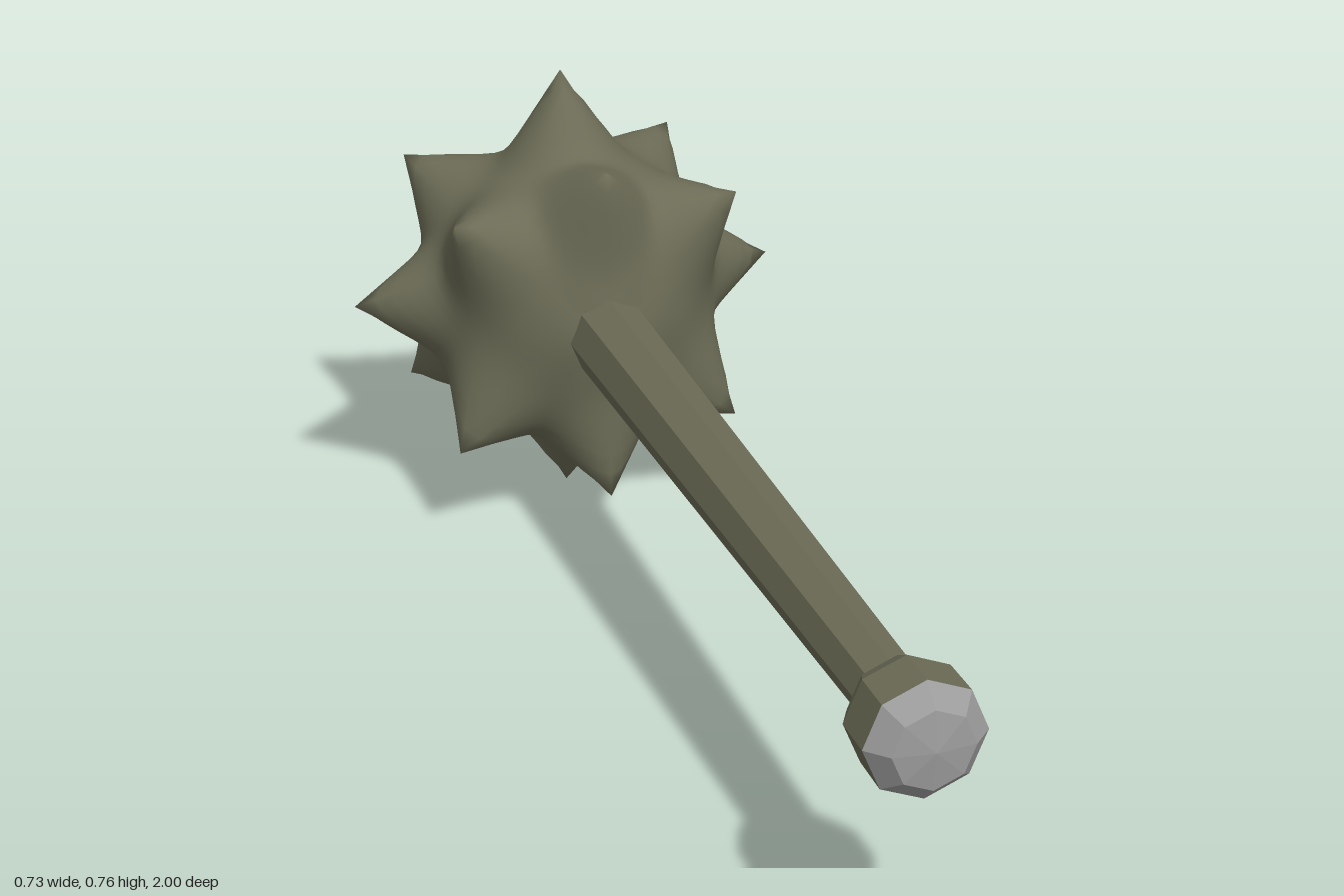
import * as THREE from 'three';
import { mergeVertices } from 'three/addons/utils/BufferGeometryUtils.js';
import { ConvexGeometry } from 'three/addons/geometries/ConvexGeometry.js';

const AXIS_Y = 0.375;
const HEAD_Z = -0.66;
const HEAD_RADIUS = 0.235;

// Spikes as tip (relative to the head centre) and slope of their sides
function spikeList() {
  const spikes = [];
  const add = (x, y, z, slope) => {
    const tip = new THREE.Vector3(x, y, z);
    spikes.push({ dir: tip.clone().normalize(), length: tip.length(), slope });
  };
  add(0, 0, -0.34, 0.5);
  for (const s of [1, -1]) {
    add(0, s * 0.378, -0.03, 0.68);
    add(s * 0.365, 0, -0.03, 0.7);
    add(0, s * 0.29, 0.23, 0.74);
    for (const t of [1, -1]) {
      add(s * 0.242, t * 0.203, 0.165, 0.8);
      add(s * 0.235, t * 0.203, -0.175, 0.8);
    }
  }
  return spikes;
}

// Distance from the head centre to the surface: ball softly joined with cones
function headRadius(dir, spikes) {
  const p = 26;
  let sum = Math.pow(HEAD_RADIUS, p);
  for (const { dir: d, length, slope } of spikes) {
    const c = THREE.MathUtils.clamp(dir.dot(d), -1, 1);
    if (c < 0.5) continue;
    const r = (slope * length) / (Math.sqrt(1 - c * c) + slope * c);
    sum += Math.pow(r, p);
  }
  return Math.pow(sum, 1 / p);
}

// Hull through the spike directions, subdivided and pushed out to the surface
function headGeometry() {
  const spikes = spikeList();
  const dirs = spikes.map((s) => s.dir);
  const hull = new ConvexGeometry([...dirs, new THREE.Vector3(0, 0, 1)]).getAttribute('position');
  const n = 12;
  const out = [];
  const corners = [0, 1, 2].map(() => new THREE.Vector3());
  const point = (i, j) => {
    const v = new THREE.Vector3()
      .addScaledVector(corners[0], n - i - j)
      .addScaledVector(corners[1], i)
      .addScaledVector(corners[2], j)
      .normalize();
    return v.multiplyScalar(headRadius(v, spikes));
  };
  for (let f = 0; f < hull.count; f += 3) {
    corners.forEach((c, k) => c.fromBufferAttribute(hull, f + k));
    for (let i = 0; i < n; i++) {
      for (let j = 0; j < n - i; j++) {
        const a = point(i, j), b = point(i + 1, j), c = point(i, j + 1);
        out.push(...a, ...b, ...c);
        if (i + j < n - 1) out.push(...b, ...point(i + 1, j + 1), ...c);
      }
    }
  }
  const geo = new THREE.BufferGeometry();
  geo.setAttribute('position', new THREE.Float32BufferAttribute(out, 3));
  const merged = mergeVertices(geo, 1e-4);
  merged.computeVertexNormals();
  return merged;
}

// Eight-sided faceted turning along z, profile given as [radius, z]
function turned(profile) {
  const points = profile.map(([r, z]) => new THREE.Vector2(r, z));
  const geo = new THREE.LatheGeometry(points, 8).rotateX(Math.PI / 2).toNonIndexed();
  geo.computeVertexNormals();
  return geo;
}

export function createModel() {
  const olive = new THREE.MeshStandardMaterial({ color: 0x6b6b56 });
  olive.name = 'olive';
  const grey = new THREE.MeshStandardMaterial({ color: 0x9c9c9c });
  grey.name = 'grey';

  const group = new THREE.Group();
  group.name = 'spikedMace';
  const add = (name, geo, material, z = 0) => {
    const mesh = new THREE.Mesh(geo, material);
    mesh.name = name;
    mesh.position.set(0, AXIS_Y, z);
    group.add(mesh);
  };

  add('spikedHead', headGeometry(), olive, HEAD_Z);
  add('handle', turned([[0.069, -0.5], [0.051, 0.84]]), olive);
  add('pommel', turned([[0.051, 0.83], [0.072, 0.85], [0.091, 0.885], [0.092, 0.96]]), olive);
  add('pommelCap', turned([[0.092, 0.96], [0.062, 0.992], [0, 1]]), grey);
  return group;
}
